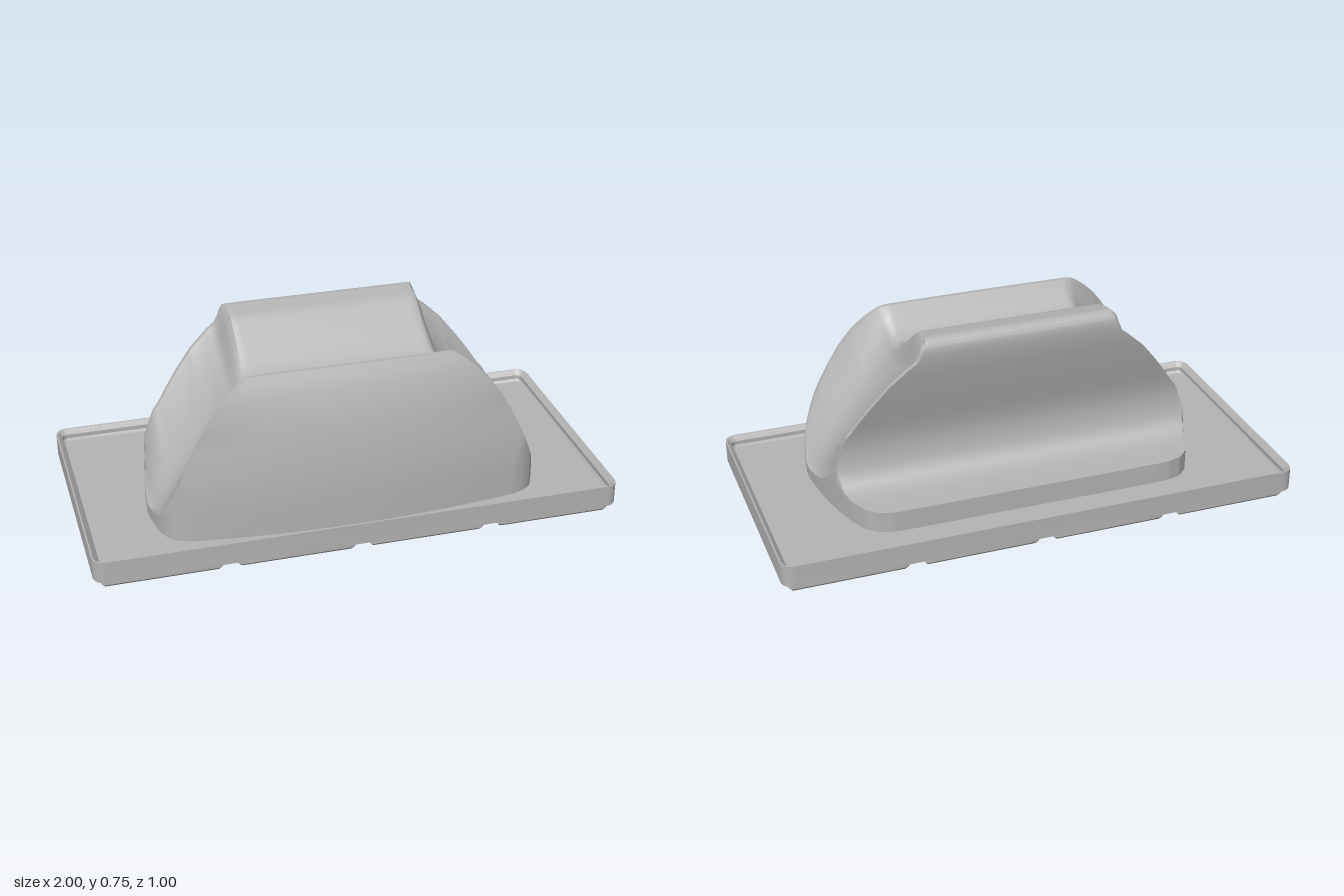
import * as THREE from 'three';
import { toCreasedNormals } from 'three/addons/utils/BufferGeometryUtils.js';

// Linear lookup in a table of [key, value] pairs with rising keys
function lookup(table, v) {
  if (v <= table[0][0]) return table[0][1];
  for (let i = 1; i < table.length; i++) {
    const [a, p] = table[i - 1], [b, q] = table[i];
    if (v <= b) return p + (q - p) * (v - a) / (b - a);
  }
  return table[table.length - 1][1];
}

// Collects triangles, leaving out those without area
function triangleList() {
  const data = [], n = new THREE.Vector3(), e = new THREE.Vector3();
  return {
    add(a, b, c) {
      n.subVectors(b, a).cross(e.subVectors(c, a));
      if (n.length() > 1e-9) for (const p of [a, b, c]) data.push(p.x, p.y, p.z);
    },
    geometry(crease) {
      const g = new THREE.BufferGeometry();
      g.setAttribute('position', new THREE.Float32BufferAttribute(data, 3));
      return toCreasedNormals(g, crease);
    },
  };
}

// Stack of rounded rectangles; profile holds [inset, y], an Infinity inset closes it
function roundedStack(halfX, halfZ, radius, profile) {
  const steps = 6, tris = triangleList();
  const rings = profile.map(([inset, y]) => {
    const hx = Math.max(0, halfX - inset), hz = Math.max(0, halfZ - inset);
    const r = hx ? Math.max(0.008, radius - inset) : 0, ring = [];
    for (let q = 0; q < 4; q++) {
      const sx = q === 0 || q === 3 ? 1 : -1, sz = q < 2 ? -1 : 1;
      for (let k = 0; k <= steps; k++) {
        const a = (q + k / steps) * Math.PI / 2;
        ring.push(new THREE.Vector3(sx * (hx - r) + r * Math.cos(a), y, sz * (hz - r) - r * Math.sin(a)));
      }
    }
    return ring;
  });
  for (let i = 0; i + 1 < rings.length; i++) {
    const lo = rings[i], hi = rings[i + 1];
    lo.forEach((p, j) => {
      const k = (j + 1) % lo.length;
      tris.add(p, lo[k], hi[j]);
      tris.add(lo[k], hi[k], hi[j]);
    });
  }
  return tris.geometry(0.5);
}

// Cradle tables: lip heights, groove floor and footprint limits by distance from the middle
const frontLip = [[0.37, 0.685], [0.395, 0.68], [0.42, 0.664], [0.46, 0.632], [0.5, 0.593], [0.53, 0.554],
  [0.56, 0.51], [0.6, 0.442], [0.64, 0.36], [0.68, 0.265], [0.71, 0.19], [0.735, 0.125]];
const backLip = [[0.36, 0.755], [0.395, 0.675], [0.43, 0.65], [0.5, 0.585], [0.56, 0.51], [0.6, 0.455],
  [0.64, 0.395], [0.665, 0.365], [0.7, 0.26], [0.735, 0.125]];
const grooveFloor = [[0.36, 0.585], [0.38, 0.565], [0.41, 0.53], [0.46, 0.46], [0.55, 0.345], [0.65, 0.225], [0.735, 0.125]];
const frontLimit = [[0.55, 0.43], [0.6, 0.392], [0.66, 0.37], [0.685, 0.355], [0.7, 0.34], [0.72, 0.30], [0.735, 0.23], [0.742, 0.18]];
const backLimit = [[0.5, -0.34], [0.55, -0.337], [0.6, -0.322], [0.64, -0.285], [0.67, -0.225], [0.7, -0.13],
  [0.72, -0.04], [0.735, 0.06], [0.742, 0.13]];
// Depth of the outer front wall and inner lip edge by height
const frontWall = [[0.125, 0.43], [0.22, 0.429], [0.3, 0.424], [0.38, 0.414], [0.45, 0.402], [0.52, 0.386],
  [0.6, 0.36], [0.65, 0.338], [0.685, 0.318]];
const innerLip = [[0.125, 0.2], [0.16, 0.275], [0.2, 0.31], [0.25, 0.332], [0.3, 0.343], [0.36, 0.349], [0.42, 0.35],
  [0.48, 0.346], [0.55, 0.334], [0.62, 0.317], [0.685, 0.30]];
// Height of the middle groove by depth
const middleGroove = [[-0.15, 0.755], [-0.07, 0.742], [0.02, 0.676], [0.1, 0.615], [0.125, 0.6], [0.15, 0.589],
  [0.17, 0.585], [0.195, 0.588], [0.22, 0.6], [0.245, 0.62], [0.275, 0.654], [0.30, 0.685]];
// Hollowed back wall running into the foot
const backCurve = new THREE.SplineCurve([[-0.16, 0.755], [-0.182, 0.745], [-0.194, 0.715], [-0.188, 0.65], [-0.168, 0.56],
  [-0.145, 0.47], [-0.123, 0.38], [-0.118, 0.31], [-0.131, 0.24], [-0.16, 0.195], [-0.205, 0.174], [-0.27, 0.168],
  [-0.34, 0.165]].map(([z, y]) => new THREE.Vector2(z, y))).getPoints(48);
const backByHeight = backCurve.map((p) => [p.y, p.x]).reverse();

function cradleSection(x) {
  const ax = Math.abs(x), base = 0.07, floorZ = 0.16;
  const front = lookup(frontLip, ax), back = lookup(backLip, ax);
  const floor = Math.min(lookup(grooveFloor, ax), front, back);
  const maxZ = lookup(frontLimit, ax), minZ = lookup(backLimit, ax);
  const points = [];
  const put = (z, y) => points.push(new THREE.Vector3(x, y, Math.min(maxZ, Math.max(minZ, z))));

  // Front wall up to the lip
  for (let i = 0; i <= 18; i++) {
    const y = base + (front - base) * i / 18;
    put(lookup(frontWall, y) - 0.05 * (ax / 0.65) ** 2 * (1 - 0.7 * Math.max(0, (y - 0.45) / 0.235)), y);
  }
  // Groove, changing from the middle saddle to the steep end channel
  const blend = THREE.MathUtils.smoothstep(ax, 0.35, 0.41);
  const zf = lookup(innerLip, front), zb = lookup(backByHeight, back) + 0.02 - 0.01 * (1 - blend);
  for (let i = 0; i <= 40; i++) {
    const c = Math.cos(Math.PI * i / 40), s = Math.abs(c);
    const z = c > 0 ? floorZ + (zf - floorZ) * s : floorZ + (zb - floorZ) * s;
    const end = c > 0 ? floor + (front - floor) * s ** 2.5 : floor + (back - floor) * s ** 1.8;
    put(z, THREE.MathUtils.lerp(lookup(middleGroove, z), end, blend));
  }
  // Back wall and foot
  for (const p of backCurve) {
    if (p.y > back) put(lookup(backByHeight, back), back);
    else put(p.x, p.y);
  }
  put(-0.34, Math.min(back, 0.165));
  put(-0.34, base);
  return points;
}

function cradleGeometry() {
  const half = [0, 0.12, 0.24, 0.33, 0.35];
  for (let x = 0.36; x < 0.74; x += 0.01) half.push(x);
  half.push(0.742);
  const stations = [...half.slice(1).reverse().map((x) => -x), ...half];
  const rings = stations.map(cradleSection), tris = triangleList();
  for (let i = 0; i + 1 < rings.length; i++) {
    const a = rings[i], b = rings[i + 1];
    for (let j = 0; j + 1 < a.length; j++) {
      tris.add(a[j], b[j], a[j + 1]);
      tris.add(a[j + 1], b[j], b[j + 1]);
    }
  }
  // End caps
  for (const [ring, flip] of [[rings[0], false], [rings[rings.length - 1], true]]) {
    const mid = new THREE.Vector3(ring[0].x, 0.07, 0.155);
    for (let j = 0; j + 1 < ring.length; j++) {
      if (flip) tris.add(mid, ring[j + 1], ring[j]);
      else tris.add(mid, ring[j], ring[j + 1]);
    }
  }
  return tris.geometry(0.55);
}

export function createModel() {
  const group = new THREE.Group();
  const grey = new THREE.MeshStandardMaterial({ color: 0xb4b4b4 });
  grey.name = 'grey';
  const part = (name, geometry) => {
    const mesh = new THREE.Mesh(geometry, grey);
    mesh.name = name;
    group.add(mesh);
    return mesh;
  };

  // Shallow tray with a stepped rim
  part('tray', roundedStack(1, 0.5, 0.045, [[Infinity, 0.04], [0, 0.04], [0, 0.125], [0.006, 0.125],
    [0.023, 0.108], [0.023, 0.092], [0.031, 0.083], [Infinity, 0.083]]));

  // Eight square feet in a four by two grid
  const foot = roundedStack(0.25, 0.25, 0.045, [[Infinity, 0], [0.038, 0], [0.028, 0.011], [0.028, 0.032], [0.018, 0.042]]);
  for (let i = 0; i < 4; i++) {
    for (let j = 0; j < 2; j++) part('foot', foot).position.set(-0.75 + 0.5 * i, 0, -0.25 + 0.5 * j);
  }

  part('cradle', cradleGeometry());
  return group;
}
